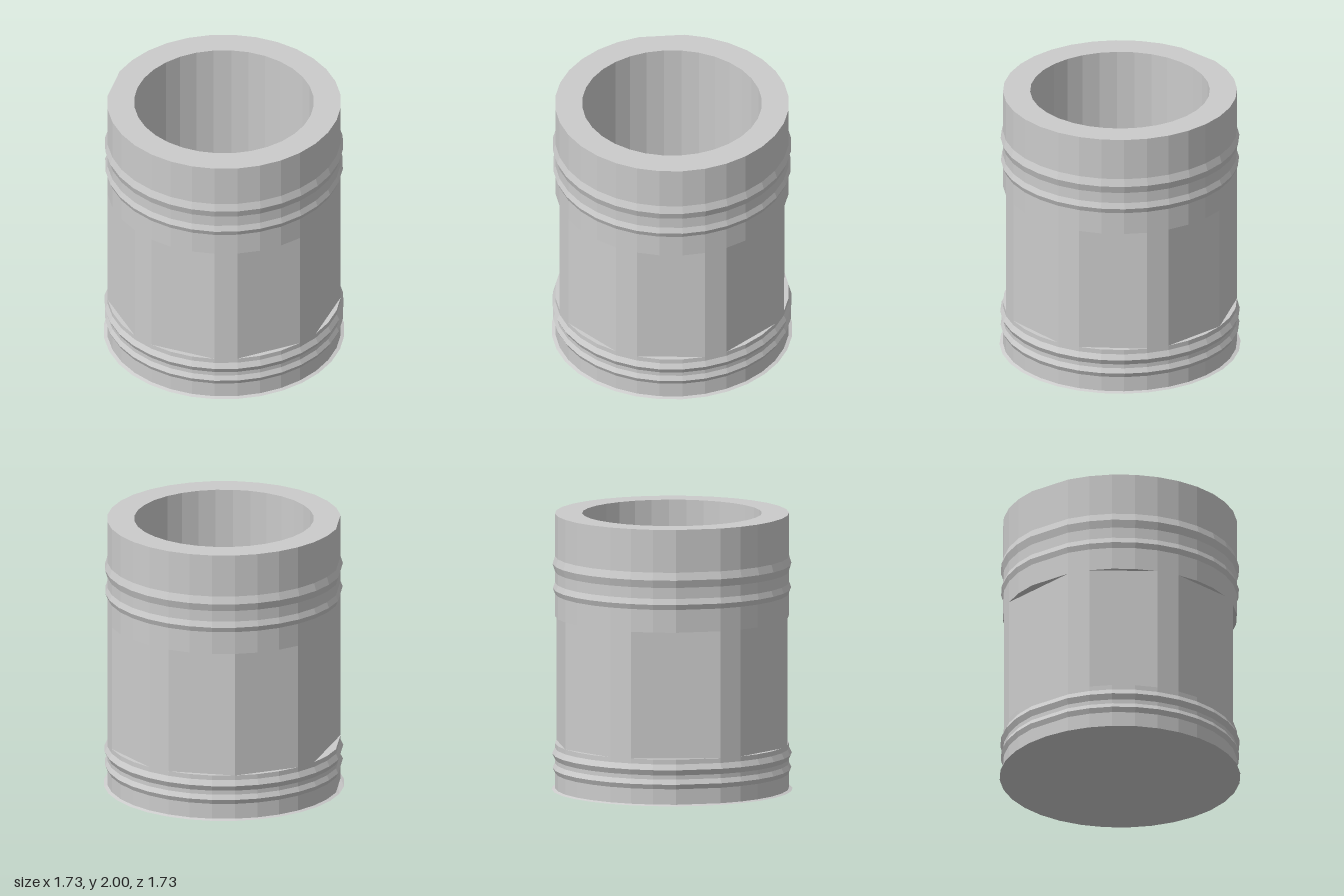
import * as THREE from 'three';

const SIDES = 32;
// Column ranges of the flat panels cut into the wall
const PANELS = [[-1, 2], [3, 6], [7, 10], [11, 14], [14, 17], [18, 22], [23, 26], [27, 30]];

const material = new THREE.MeshStandardMaterial({ color: 0xcccccc, flatShading: true });

function roundRing(r, y) {
  return Array.from({ length: SIDES }, (_, k) => {
    const a = (k / SIDES) * Math.PI * 2;
    return new THREE.Vector3(Math.sin(a) * r, y, Math.cos(a) * r);
  });
}

// Put the columns between a and b on the straight line joining them
function flatten(ring, a, b) {
  const at = (k) => ring[(k + SIDES) % SIDES];
  for (let k = a + 1; k < b; k++) at(k).lerpVectors(at(a), at(b), (k - a) / (b - a));
}

// Outer wall ring: one wider facet at columns 20-22, and optionally the panels
function wallRing(r, y, panels = false) {
  const ring = roundRing(r, y);
  flatten(ring, 20, 22);
  if (panels) PANELS.forEach(([a, b]) => flatten(ring, a, b));
  return ring;
}

// Skin successive rings; rising rings face outwards
function loft(name, rings) {
  const positions = rings.flat().flatMap((p) => p.toArray());
  const index = [];
  for (let i = 0; i < rings.length - 1; i++) {
    for (let k = 0; k < SIDES; k++) {
      const n = (k + 1) % SIDES;
      const a = i * SIDES + k, b = i * SIDES + n;
      index.push(a, b, b + SIDES, a, b + SIDES, a + SIDES);
    }
  }
  const geometry = new THREE.BufferGeometry();
  geometry.setAttribute('position', new THREE.Float32BufferAttribute(positions, 3));
  geometry.setIndex(index);
  geometry.computeVertexNormals();
  const mesh = new THREE.Mesh(geometry, material);
  mesh.name = name;
  return mesh;
}

function disc(name, r, y, facing) {
  const geometry = new THREE.CircleGeometry(r, SIDES);
  geometry.rotateX(-facing * Math.PI / 2);
  const mesh = new THREE.Mesh(geometry, material);
  mesh.position.y = y;
  mesh.name = name;
  return mesh;
}

export function createModel() {
  const group = new THREE.Group();
  group.name = 'cup';
  const R = 0.84, bore = 0.645, floorY = 0.12;

  // Foot lip and the two lower ridges
  const lower = [
    [R, 0.008], [R, 0.12], [0.857, 0.155], [R, 0.19],
    [R, 0.22], [0.86, 0.26], [R, 0.3], [R, 0.335],
  ].map(([r, y]) => wallRing(r, y));
  group.add(loft('footLip', [roundRing(0.865, 0), wallRing(R, 0.008)]));
  group.add(loft('lowerBand', lower));

  // Panelled middle with its ledges
  group.add(loft('panelledWall', [
    wallRing(R, 0.335), wallRing(R, 0.335, true),
    wallRing(R, 1.255, true), wallRing(R, 1.255),
  ]));

  // Two upper ridges and the plain collar
  const upper = [
    [R, 1.255], [R, 1.42], [0.855, 1.458], [R, 1.5],
    [R, 1.58], [0.857, 1.635], [R, 1.69], [R, 2],
  ].map(([r, y]) => wallRing(r, y));
  group.add(loft('upperBand', upper));

  // Rim, hollow inside, floor and underside
  group.add(loft('rim', [wallRing(R, 2), roundRing(bore, 2)]));
  group.add(loft('innerWall', [roundRing(bore, 2), roundRing(bore, floorY)]));
  group.add(disc('innerFloor', bore, floorY, 1));
  group.add(disc('underside', 0.865, 0, -1));
  return group;
}
